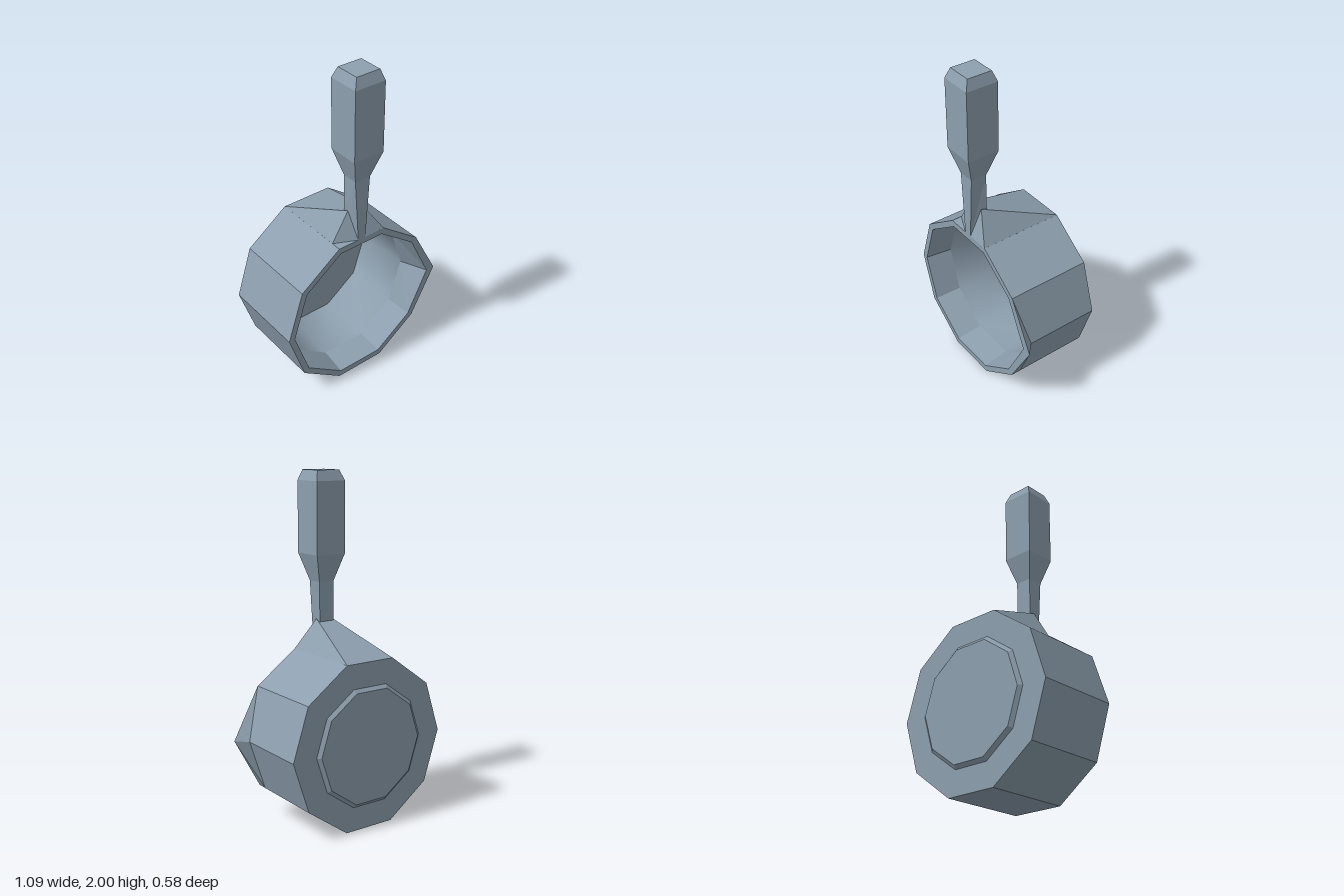
import * as THREE from 'three';
import { mergeVertices } from 'three/addons/utils/BufferGeometryUtils.js';

const SIDES = 10, CX = -0.034, CY = 0.488, STEEL = 0x8d9fae;

// Decagon cross-section; tip pushes the pouring-lip corner outwards
function ring(r, z, tip = 0) {
  return Array.from({ length: SIDES }, (_, i) => {
    const a = (i / SIDES) * Math.PI * 2;
    return [CX + r * Math.cos(a) + (i === 0 ? tip : 0), CY + r * Math.sin(a), z];
  });
}

// Rectangular handle cross-section, front edge first
function rect(y, x0, x1, zBack, zFront) {
  return [[x0, y, zFront], [x1, y, zFront], [x1, y, zBack], [x0, y, zBack]];
}

// Turns polygons (corners counter-clockwise from outside) into a geometry
function fromFaces(faces) {
  const pos = [];
  for (const f of faces)
    for (let i = 1; i < f.length - 1; i++) pos.push(...f[0], ...f[i], ...f[i + 1]);
  const geo = new THREE.BufferGeometry();
  geo.setAttribute('position', new THREE.Float32BufferAttribute(pos, 3));
  geo.computeVertexNormals();
  return geo;
}

// Skins successive cross-sections
function loftFaces(rings) {
  const faces = [];
  for (let k = 0; k < rings.length - 1; k++) {
    const a = rings[k], b = rings[k + 1], n = a.length;
    for (let i = 0; i < n; i++) {
      const j = (i + 1) % n;
      faces.push([a[i], a[j], b[j], b[i]]);
    }
  }
  return faces;
}

export function createModel() {
  const group = new THREE.Group();
  const flat = new THREE.MeshStandardMaterial({ color: STEEL, flatShading: true, side: THREE.DoubleSide });
  const smooth = new THREE.MeshStandardMaterial({ color: STEEL, side: THREE.DoubleSide });
  const add = (name, geo, mat = flat) => {
    const mesh = new THREE.Mesh(geo, mat);
    mesh.name = name;
    group.add(mesh);
  };

  // Outer wall with raised base, pouring lip, and rim turning inwards
  const base = ring(0.34, -0.29);
  add('panBody', fromFaces([
    base.slice().reverse(),
    ...loftFaces([
      base, ring(0.362, -0.272), ring(0.512, -0.272), ring(0.512, 0.18),
      ring(0.512, 0.242, 0.064), ring(0.473, 0.242, 0.047), ring(0.45, 0.08),
    ]),
  ]));

  // Smooth inner wall and flat floor
  const floor = ring(0.425, -0.25);
  const wall = mergeVertices(fromFaces(loftFaces([ring(0.45, 0.08), floor])).deleteAttribute('normal'));
  wall.computeVertexNormals();
  add('innerWall', wall, smooth);
  add('panFloor', fromFaces([floor]));

  // Neck foot corners: front pair low on the rim, back pair on the bracket
  const footL = [-0.06, 0.975, 0.242], footR = [-0.01, 0.975, 0.242];
  const backL = [-0.085, 1.135, 0.145], backR = [0.012, 1.135, 0.145];

  // Sloping bracket from the wall to the neck
  const rearL = [-0.192, 0.975, -0.272], rearR = [0.124, 0.975, -0.272];
  const frontL = [-0.192, 0.975, 0.18], frontR = [0.124, 0.975, 0.242];
  const sideL = [-0.085, 1.15, 0.18], sideR = [0.012, 1.15, 0.18];
  add('handleBracket', fromFaces([
    [rearR, rearL, backL, backR],
    [rearR, backR, sideR], [rearR, sideR, frontR], [frontR, sideR, footR],
    [rearL, sideL, backL], [rearL, frontL, sideL], [frontL, footL, sideL],
  ]));

  // Neck and grip
  const end = rect(2, -0.107, 0.042, 0.12, 0.268);
  add('handle', fromFaces([
    ...loftFaces([
      [footL, footR, backR, backL],
      rect(1.367, -0.085, 0.014, 0.145, 0.242),
      rect(1.527, -0.131, 0.062, 0.097, 0.29),
      rect(1.94, -0.131, 0.062, 0.097, 0.29),
      end,
    ]),
    end,
  ]));

  return group;
}
